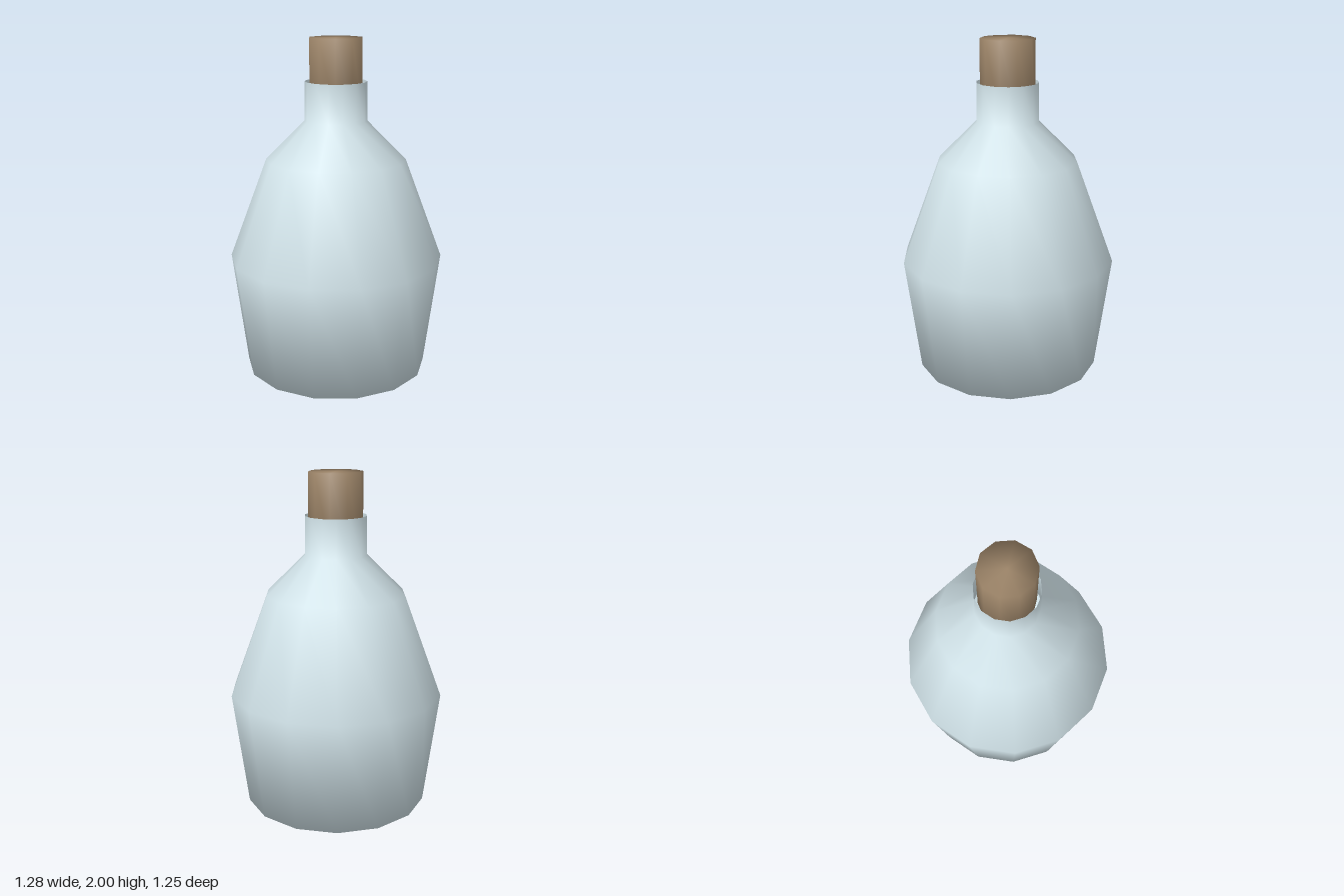
import * as THREE from 'three';

// Smooth-shaded solid of revolution with few sides
function turned(name, profile, sides, color, phase = 0) {
  const points = profile.map(([r, y]) => new THREE.Vector2(r, y));
  const material = new THREE.MeshStandardMaterial({ color, side: THREE.DoubleSide });
  const mesh = new THREE.Mesh(new THREE.LatheGeometry(points, sides, phase), material);
  mesh.name = name;
  return mesh;
}

export function createModel() {
  const group = new THREE.Group();
  group.name = 'corkedBottle';

  // Glass: closed base, bulging belly, sloped shoulder, open neck
  group.add(turned('bottleBody', [
    [0, 0], [0.55, 0], [0.64, 0.69], [0.415, 1.29], [0.185, 1.52], [0.183, 1.75],
  ], 14, 0xd4e6ec, Math.PI / 2));

  // Stopper pushed into the neck
  group.add(turned('cork', [
    [0, 1.58], [0.16, 1.58], [0.16, 2], [0, 2],
  ], 10, 0x9c8468));

  return group;
}
